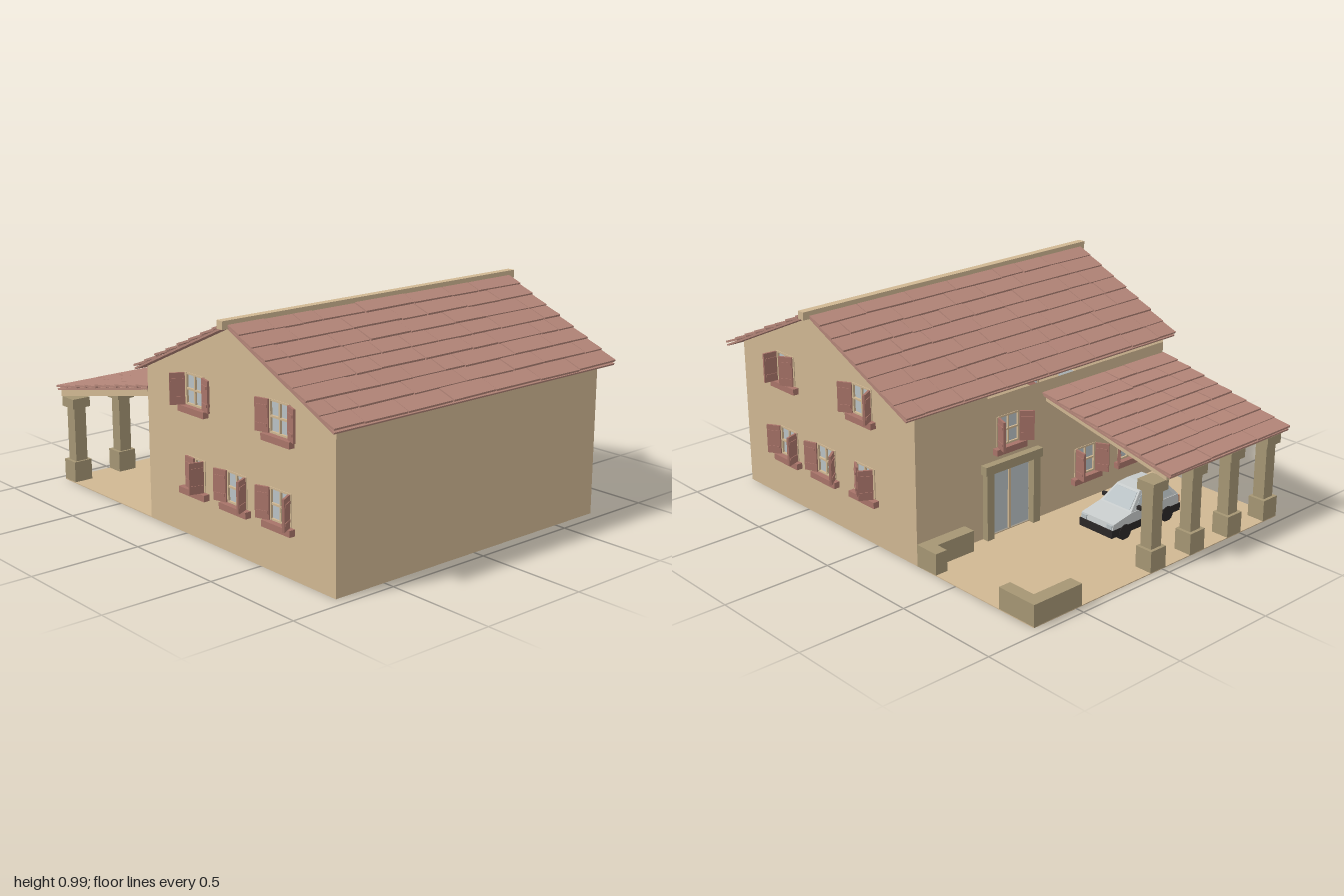
import * as THREE from 'three';
import { mergeGeometries } from 'three/addons/utils/BufferGeometryUtils.js';

const mat = (name, color, side = THREE.FrontSide) => {
  const m = new THREE.MeshStandardMaterial({ color, side });
  m.name = name;
  return m;
};

export function createModel() {
  const plaster = mat('plaster', 0xd0b792, THREE.DoubleSide);
  const tile = mat('clayTile', 0xb38578);
  const stone = mat('stone', 0xa59674);
  const shutterMat = mat('shutterPaint', 0xa87469);
  const glass = mat('glass', 0xb9c1c4, THREE.DoubleSide);
  const silver = mat('carPaint', 0xc6caca);
  const rubber = mat('blackRubber', 0x2b2727);
  const lamp = mat('lamp', 0xc8805a);

  const root = new THREE.Group();
  root.name = 'houseWithCarport';
  let seed = 7;
  const rand = () => (seed = (seed * 16807) % 2147483647) / 2147483647;

  const add = (parent, name, geo, material) => {
    const m = new THREE.Mesh(geo, material);
    m.name = name;
    parent.add(m);
    return m;
  };
  // Box given by its min and max along each axis
  const box = (parent, name, material, x0, x1, y0, y1, z0, z1) => {
    const g = new THREE.BoxGeometry(x1 - x0, y1 - y0, z1 - z0);
    g.translate((x0 + x1) / 2, (y0 + y1) / 2, (z0 + z1) / 2);
    return add(parent, name, g, material);
  };
  const group = (parent, name, x = 0, y = 0, z = 0, ry = 0) => {
    const g = new THREE.Group();
    g.name = name;
    g.position.set(x, y, z);
    g.rotation.y = ry;
    parent.add(g);
    return g;
  };

  // Window with glass, cross bars, sill and two hinged shutters
  const W = 0.06, H = 0.135;
  function addWindow(wall, [x, y, openLeft, openRight]) {
    const g = group(wall, 'window', x, y, 0);
    box(g, 'windowGlass', glass, -W, W, 0, H, -0.012, -0.006);
    for (const s of [-1, 1]) box(g, 'frameSide', plaster, s * W - 0.006, s * W + 0.006, 0, H, -0.01, 0.004);
    for (const yy of [0.003, H / 2, H - 0.003]) box(g, 'frameBar', plaster, -W, W, yy - 0.004, yy + 0.004, -0.01, 0.003);
    box(g, 'frameMullion', plaster, -0.004, 0.004, 0, H, -0.01, 0.003);
    box(g, 'sill', shutterMat, -0.087, 0.087, -0.03, -0.002, -0.005, 0.028);
    [[-1, openLeft], [1, openRight]].forEach(([s, deg]) => {
      const hinge = group(g, 'shutter', s * W, 0, 0.008, s * deg * Math.PI / 180);
      box(hinge, 'shutterPanel', shutterMat, Math.min(0, -s * 0.064), Math.max(0, -s * 0.064), 0, H, -0.005, 0.005);
      for (const yy of [0.03, 0.105]) {
        box(hinge, 'shutterBatten', shutterMat, s > 0 ? -0.058 : 0.006, s > 0 ? -0.006 : 0.058, yy - 0.006, yy + 0.006, -0.008, 0.008);
      }
    });
  }

  // Wall sheet with openings: windows are [x, y, left angle, right angle]
  function addWall(name, outline, windows, doorway, placement) {
    const wall = group(root, name, ...placement);
    const shape = new THREE.Shape(outline.map(p => new THREE.Vector2(...p)));
    const cut = (x0, x1, y0, y1) => shape.holes.push(new THREE.Path(
      [[x0, y0], [x0, y1], [x1, y1], [x1, y0]].map(p => new THREE.Vector2(...p))));
    windows.forEach(w => { cut(w[0] - W, w[0] + W, w[1], w[1] + H); addWindow(wall, w); });
    if (doorway) cut(...doorway);
    add(wall, name + 'Sheet', new THREE.ShapeGeometry(shape), plaster);
    return wall;
  }

  // House walls
  const gable = s => {
    const p = [[-0.26, 0], [0.95, 0], [0.95, 0.682], [0.35, 0.958], [-0.26, 0.68]];
    return p.map(([x, y]) => [x * s, y]);
  };
  addWall('frontWall', gable(1), [
    [0.08, 0.57, 120, 165], [0.625, 0.57, 165, 160],
    [0.075, 0.215, 5, 75], [0.35, 0.215, 165, 115], [0.625, 0.215, 160, 120],
  ], null, [0, 0, 0.75, 0]);
  addWall('backWall', gable(-1), [
    [-0.08, 0.57, 150, 120], [-0.625, 0.57, 95, 30],
    [-0.075, 0.215, 30, 60], [-0.35, 0.215, 160, 130], [-0.625, 0.215, 150, 110],
  ], null, [0, 0, -0.73, Math.PI]);
  addWall('leftWall', [[-0.75, 0], [0.73, 0], [0.73, 0.68], [-0.75, 0.68]], [], null, [0.95, 0, 0, Math.PI / 2]);
  const doorWall = addWall('rightWall', [[-0.73, 0], [0.75, 0], [0.75, 0.64], [-0.73, 0.64]],
    [[-0.22, 0.41, 110, 140], [0.25, 0.13, 100, 120], [0.53, 0.13, 140, 110]],
    [-0.33, -0.09, 0.008, 0.31], [-0.26, 0, 0, -Math.PI / 2]);

  // Double glass door in a stone surround
  const door = group(doorWall, 'door', -0.21, 0, 0);
  for (const s of [-1, 1]) {
    box(door, 'doorLeaf', glass, s * 0.06 - 0.055, s * 0.06 + 0.055, 0.01, 0.31, -0.012, -0.006);
    box(door, 'doorPost', stone, s * 0.135 - 0.02, s * 0.135 + 0.02, 0, 0.31, -0.003, 0.03);
  }
  box(door, 'doorMullion', plaster, -0.006, 0.006, 0.01, 0.31, -0.012, 0.002);
  box(door, 'doorLintel', stone, -0.165, 0.165, 0.31, 0.35, -0.003, 0.035);

  // Tiled slope rising from eave (x0, y0) to top (x1, y1)
  function addSlope(name, x0, y0, x1, y1, z0, z1, rows) {
    const g = group(root, name);
    const len = Math.hypot(x1 - x0, y1 - y0), angle = Math.atan((y1 - y0) / (x1 - x0)), s = Math.sign(x1 - x0);
    const deck = new THREE.BoxGeometry(len, 0.008, z1 - z0 - 0.01);
    deck.rotateZ(angle);
    deck.translate((x0 + x1) / 2, (y0 + y1) / 2, (z0 + z1) / 2);
    add(g, name + 'Deck', deck, tile);
    const tiles = [];
    for (let i = 0; i < rows; i++) {
      const t = (i + 0.5) / rows;
      for (let z = z0; z < z1 - 0.001;) {
        let d = 0.1 + rand() * 0.2;
        if (z1 - z - d < 0.08) d = z1 - z;
        const b = new THREE.BoxGeometry(len / rows + 0.008, 0.009, d - 0.004);
        b.rotateY((rand() - 0.5) * 0.025);
        b.rotateZ(angle - s * (0.06 + rand() * 0.05));
        b.translate(x0 + (x1 - x0) * t + (rand() - 0.5) * 0.004, y0 + (y1 - y0) * t + 0.011 + rand() * 0.003, z + d / 2);
        tiles.push(b);
        z += d;
      }
    }
    add(g, name + 'Tiles', mergeGeometries(tiles), tile);
  }
  addSlope('mainRoofRight', -0.288, 0.668, 0.35, 0.958, -0.8, 0.8, 8);
  addSlope('mainRoofLeft', 0.988, 0.668, 0.35, 0.958, -0.8, 0.8, 8);
  addSlope('carportRoof', -0.996, 0.426, -0.262, 0.576, -0.02, 0.755, 9);
  box(root, 'ridgeCap', plaster, 0.332, 0.368, 0.95, 0.985, -0.83, 0.825);

  // Sloping carport ceiling
  const ceiling = new THREE.Shape([[-0.965, 0.4], [-0.262, 0.545], [-0.262, 0.572], [-0.965, 0.428]].map(p => new THREE.Vector2(...p)));
  add(root, 'carportCeiling', new THREE.ExtrudeGeometry(ceiling, { depth: 0.75, bevelEnabled: false }), plaster);

  // Terrace floor and low corner walls
  box(root, 'terraceFloor', plaster, -0.96, -0.26, 0, 0.004, -0.73, 0.75);
  for (const [x0, x1, z0, z1] of [
    [-0.96, -0.76, -0.73, -0.67], [-0.96, -0.895, -0.67, -0.47],
    [-0.38, -0.26, -0.73, -0.67], [-0.32, -0.26, -0.67, -0.47],
  ]) box(root, 'lowCornerWall', stone, x0, x1, 0, 0.1, z0, z1);

  // Carport pillars
  for (let i = 0; i < 4; i++) {
    const p = group(root, 'pillar', -0.915, 0, -0.025 + i * 0.243);
    box(p, 'pillarBase', stone, -0.045, 0.04, 0, 0.1, -0.045, 0.045);
    box(p, 'pillarShaft', stone, -0.03, 0.03, 0.1, 0.355, -0.03, 0.03);
    box(p, 'pillarCap', stone, -0.045, 0.045, 0.355, 0.4, -0.045, 0.045);
  }

  // Car, nose toward the back; profiles are [z, y], narrowing above the waist
  const car = group(root, 'car', -0.572, 0, 0.22);
  function carPart(name, profile, half, material) {
    const shape = new THREE.Shape(profile.map(([z, y]) => new THREE.Vector2(-z, y)));
    const g = new THREE.ExtrudeGeometry(shape, { depth: half * 2, bevelEnabled: false });
    g.translate(0, 0, -half);
    g.rotateY(Math.PI / 2);
    const p = g.attributes.position;
    for (let i = 0; i < p.count; i++) {
      const k = Math.max(0, p.getY(i) - 0.112) / 0.075;
      p.setX(i, p.getX(i) * (1 - 0.3 * k));
    }
    g.computeVertexNormals();
    add(car, name, g, material);
  }
  carPart('carBody', [[-0.21, 0.065], [-0.205, 0.09], [-0.09, 0.112], [0.205, 0.112], [0.212, 0.065]], 0.095, silver);
  carPart('carCabin', [[-0.095, 0.112], [-0.015, 0.182], [0.05, 0.188], [0.14, 0.184], [0.205, 0.112]], 0.092, silver);
  carPart('carSkirt', [[-0.217, 0.03], [-0.217, 0.065], [0.218, 0.065], [0.218, 0.03]], 0.097, rubber);
  carPart('frontSideGlass', [[-0.065, 0.118], [-0.006, 0.172], [0.035, 0.175], [0.035, 0.118]], 0.0935, glass);
  carPart('rearSideGlass', [[0.047, 0.118], [0.047, 0.175], [0.13, 0.173], [0.175, 0.118]], 0.0935, glass);
  carPart('windscreen', [[-0.091, 0.118], [-0.026, 0.175], [-0.021, 0.175], [-0.086, 0.118]], 0.08, glass);
  carPart('rearWindow', [[0.197, 0.118], [0.144, 0.177], [0.149, 0.177], [0.203, 0.118]], 0.08, glass);
  for (const s of [-1, 1]) {
    for (const z of [-0.135, 0.135]) {
      const wheel = new THREE.CylinderGeometry(0.036, 0.036, 0.028, 16);
      wheel.rotateZ(Math.PI / 2);
      wheel.translate(s * 0.085, 0.036, z);
      add(car, 'wheel', wheel, rubber);
    }
    box(car, 'tailLamp', lamp, s * 0.086 - 0.009, s * 0.086 + 0.009, 0.072, 0.104, 0.2, 0.215);
    box(car, 'headLamp', glass, s * 0.075 - 0.015, s * 0.075 + 0.015, 0.068, 0.086, -0.213, -0.2);
    box(car, 'mirror', rubber, s * 0.103 - 0.012, s * 0.103 + 0.012, 0.118, 0.134, -0.06, -0.045);
  }
  return root;
}
